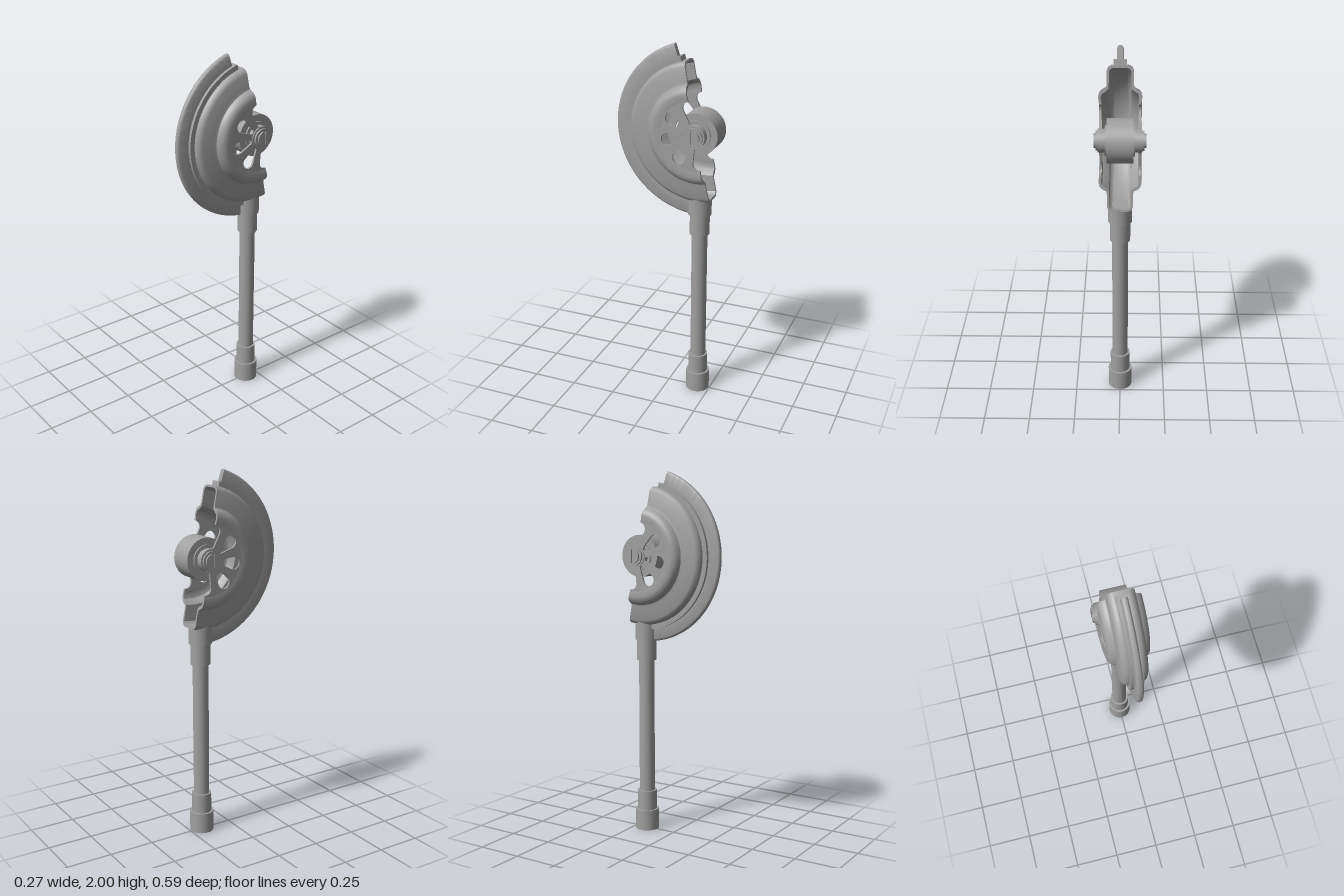
import * as THREE from 'three';
import { toCreasedNormals, mergeGeometries } from 'three/addons/utils/BufferGeometryUtils.js';

const HUB_Y = 1.553, HUB_Z = -0.178, rad = THREE.MathUtils.degToRad;
const V = (x, y) => new THREE.Vector2(x, y);

export function createModel() {
  const steel = new THREE.MeshStandardMaterial({ color: 0xa0a0a0, side: THREE.DoubleSide });
  steel.name = 'grey steel';
  const model = new THREE.Group();
  const add = (parent, name, geo) => {
    const m = new THREE.Mesh(geo, steel);
    m.name = name;
    parent.add(m);
    return m;
  };

  // Handle: grip cap, collars, tube and socket, as [name, radius, bottom, top]
  const handle = new THREE.Group();
  handle.name = 'handle';
  handle.position.z = HUB_Z;
  model.add(handle);
  for (const [name, r, y0, y1] of [
    ['gripCap', 0.066, 0, 0.115], ['lowerCollar', 0.054, 0.115, 0.225], ['tube', 0.043, 0.225, 0.98],
    ['upperCollar', 0.054, 0.975, 1.09], ['socket', 0.063, 1.09, 1.19],
  ]) add(handle, name, new THREE.CylinderGeometry(r, r, y1 - y0, 32)).position.y = (y0 + y1) / 2;

  // Guard frame: local z is the axle, local y > 0 is the covered half
  const guard = new THREE.Group();
  guard.name = 'guard';
  guard.position.set(0, HUB_Y, HUB_Z);
  guard.rotation.y = Math.PI / 2;
  model.add(guard);
  const half = new THREE.Group();
  half.name = 'halfCover';
  half.rotation.z = rad(101);
  guard.add(half);

  // Sweeps a mirrored section of (radius, offset) points between two angles and caps both ends
  const sweep = (pts, a0, a1) => {
    const side = pts.map(([r, y]) => V(r, y));
    const loop = [...side, ...pts.slice(1).reverse().filter(p => p[1] > 0).map(([r, y]) => V(r, -y))];
    const start = rad(90 + a0), length = rad(a1 - a0);
    const parts = [new THREE.LatheGeometry([...loop, side[0]], 72, start, length)];
    for (const phi of [start, start + length])
      parts.push(new THREE.ShapeGeometry(new THREE.Shape(loop)).rotateY(phi - Math.PI / 2));
    const geo = mergeGeometries(parts.map(p => p.toNonIndexed()));
    return toCreasedNormals(geo.rotateX(Math.PI / 2), rad(35));
  };

  // Hollow stepped shell, narrow rim then wide dome
  add(half, 'shell', sweep([
    [0.378, 0], [0.378, 0.033], [0.376, 0.045], [0.368, 0.059], [0.352, 0.067], [0.282, 0.067], [0.267, 0.071],
    [0.262, 0.082], [0.255, 0.094], [0.242, 0.105], [0.222, 0.11], [0.19, 0.106],
    [0.19, 0.094], [0.218, 0.098], [0.236, 0.091], [0.246, 0.075], [0.262, 0.057], [0.35, 0.055],
    [0.362, 0.045], [0.366, 0.033], [0.366, 0],
  ], 0, 180));
  add(half, 'rimStep', sweep([[0.404, 0], [0.404, 0.033], [0.37, 0.033], [0.37, 0]], 4, 172));
  add(half, 'edgeFin', sweep([
    [0.472, 0], [0.471, 0.007], [0.467, 0.013], [0.46, 0.016], [0.395, 0.016], [0.395, 0],
  ], 7, 170));

  // Side plates with teardrop slots every 45 degrees, the end ones cut in half
  const halfDrop = [];
  for (let i = 0; i <= 8; i++) {
    const t = rad(i * 13);
    halfDrop.push(V(0.15 + 0.034 * Math.cos(t), 0.034 * Math.sin(t)));
  }
  halfDrop.push(V(0.068, 0.011), V(0.062, 0));
  const drop = [...halfDrop, ...halfDrop.slice(1, -1).reverse().map(p => V(p.x, -p.y))];
  const outline = [];
  for (let i = 0; i <= 40; i++) outline.push(V(0.193 * Math.cos(Math.PI * i / 40), 0.193 * Math.sin(Math.PI * i / 40)));
  outline.push(...halfDrop.map(p => V(-p.x, p.y)), ...[...halfDrop].reverse());
  const plate = new THREE.Shape(outline);
  for (const a of [45, 90, 135])
    plate.holes.push(new THREE.Path(drop.map(p => p.clone().rotateAround(V(0, 0), rad(a)))));
  const plateGeo = new THREE.ExtrudeGeometry(plate, { depth: 0.012, bevelEnabled: false });
  add(half, 'leftPlate', plateGeo).position.z = 0.0935;
  add(half, 'rightPlate', plateGeo).position.z = -0.1055;

  // Roller and stepped axle, as [name, radius, half length]
  for (const [name, r, h] of [
    ['roller', 0.114, 0.067], ['rollerBoss', 0.078, 0.076], ['axle', 0.06, 0.112],
    ['washer', 0.05, 0.123], ['pin', 0.037, 0.127],
  ]) add(guard, name, new THREE.CylinderGeometry(r, r, 2 * h, 40).rotateX(Math.PI / 2));

  // Slotted pin heads
  for (const end of [1, -1]) for (const s of [0, Math.PI]) {
    const seg = new THREE.Shape().absarc(0, 0, 0.037, s + 0.22, s + Math.PI - 0.22, false);
    const head = add(guard, 'pinHead', new THREE.ExtrudeGeometry(seg, { depth: 0.007, bevelEnabled: false, curveSegments: 16 }));
    head.position.z = end > 0 ? 0.126 : -0.133;
    head.rotation.z = Math.PI / 2;
  }
  return model;
}
